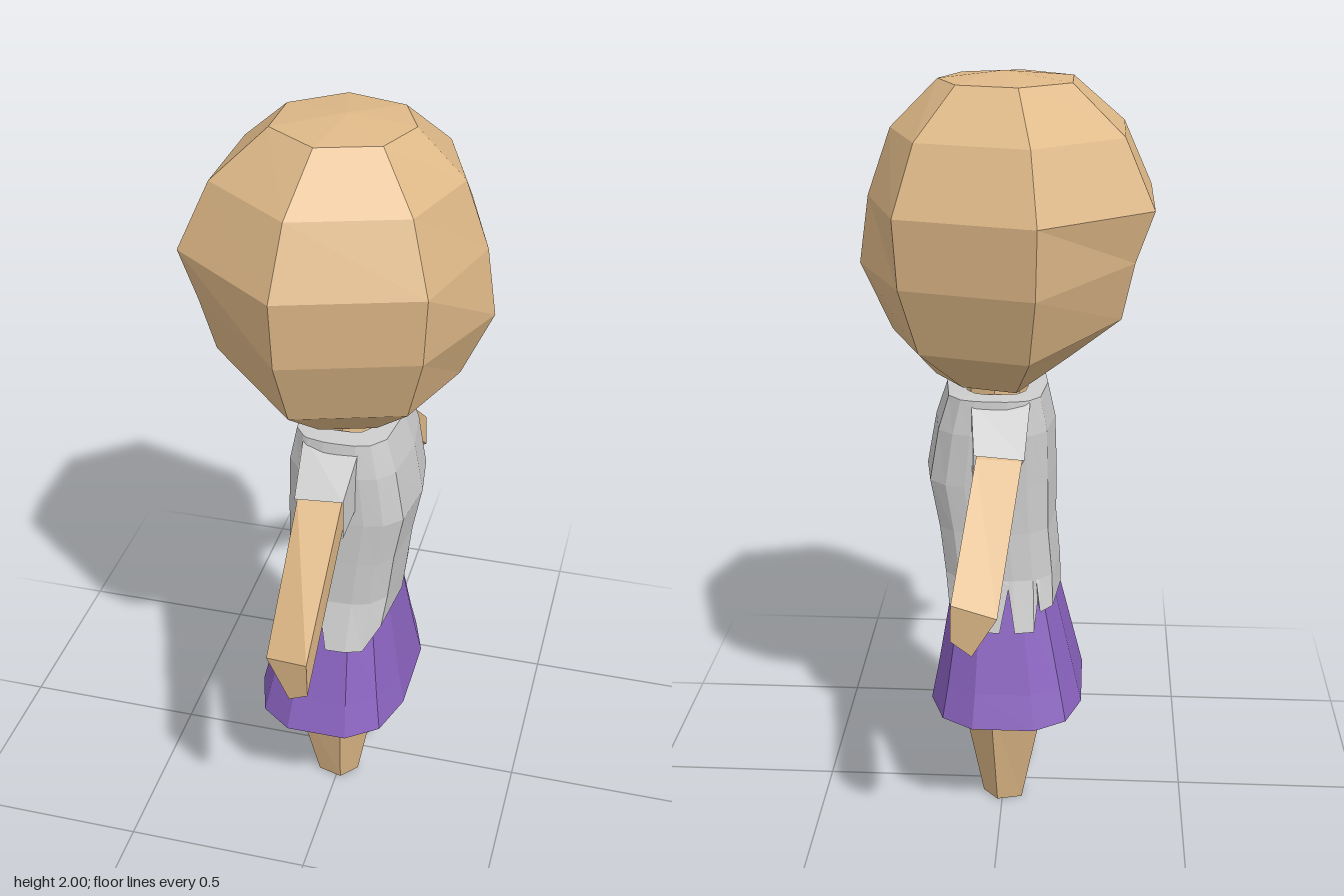
import * as THREE from 'three';

const mat = (color) =>
  new THREE.MeshStandardMaterial({ color, flatShading: true, side: THREE.DoubleSide });
const skin = mat(0xdeb887);
const cloth = mat(0xebe9e9);
const purple = mat(0x8a63bf);

const rad = THREE.MathUtils.degToRad;

// Skins a list of point rings, with optional flat caps at either end.
function loft(name, material, rings, capStart = false, capEnd = false) {
  const pos = [];
  const tri = (a, b, c) => pos.push(...a, ...b, ...c);
  const middle = (ring) => [0, 1, 2].map((k) => ring.reduce((s, p) => s + p[k], 0) / ring.length);
  const n = rings[0].length;
  for (let j = 0; j < n; j++) {
    const k = (j + 1) % n;
    for (let i = 0; i < rings.length - 1; i++) {
      const [a, b, c, d] = [rings[i][j], rings[i][k], rings[i + 1][j], rings[i + 1][k]];
      tri(a, b, c);
      tri(b, d, c);
    }
    const first = rings[0], last = rings[rings.length - 1];
    if (capStart) tri(middle(first), first[k], first[j]);
    if (capEnd) tri(middle(last), last[j], last[k]);
  }
  const geo = new THREE.BufferGeometry();
  geo.setAttribute('position', new THREE.Float32BufferAttribute(pos, 3));
  geo.computeVertexNormals();
  const mesh = new THREE.Mesh(geo, material);
  mesh.name = name;
  return mesh;
}

// Rounded-rectangle ring: back and front x, right and left reach in z, power sets squareness.
function ring(angles, y, back, front, right, left, power = 1) {
  const bend = (v) => Math.sign(v) * Math.abs(v) ** power;
  return angles.map((deg) => {
    const c = bend(Math.cos(rad(deg))), s = bend(Math.sin(rad(deg)));
    const x = (front + back) / 2 + c * (front - back) / 2;
    return [x, y, s * (s > 0 ? left : right)];
  });
}
const regular = (n, start = 0) => Array.from({ length: n }, (_, i) => start + (i * 360) / n);

// Seven-sided head whose rings are raised at the back of the jaw
function head() {
  // y, back lift, radius, front reach, back reach
  const levels = [
    [1.98, 0, 0.18, 0.165, 0.17],
    [1.86, 0, 0.33, 0.285, 0.30],
    [1.69, 0, 0.41, 0.345, 0.375],
    [1.515, 0.045, 0.395, 0.37, 0.33],
    [1.34, 0.07, 0.325, 0.29, 0.30],
    [1.22, 0.07, 0.165, 0.18, 0.17],
  ];
  const rings = levels.map(([y, lift, r, front, back]) =>
    regular(7, -1).map((deg) => {
      const c = Math.cos(rad(deg));
      const isBack = c < -0.5;
      const x = isBack ? -back : c > 0.9 ? front : c * r;
      const narrow = c > 0.5 ? 0.92 : 1;
      return [x, y + (isBack ? lift : 0), Math.sin(rad(deg)) * r * narrow];
    }));
  rings.unshift(rings[0].map(() => [0, 2, 0]));
  return loft('head', skin, rings, false, true);
}

// Shirt body with two slits in the hem at each side
function shirt() {
  const half = [35, 62, 80, 90, 92.5, 96, 114, 118, 122, 145];
  const angles = [0, ...half, 180, ...half.map((a) => 360 - a).reverse()];
  const levels = [
    [1.205, -0.07, 0.10, 0.13, 0.13],
    [1.2, -0.115, 0.15, 0.175, 0.185],
    [1.11, -0.135, 0.18, 0.185, 0.2],
    [0.97, -0.14, 0.205, 0.185, 0.205],
    [0.84, -0.14, 0.18, 0.185, 0.205],
    [0.71, -0.152, 0.165, 0.19, 0.208],
  ];
  const rings = levels.map((l) => ring(angles, ...l, 0.6));
  const hem = ring(angles, 0.63, -0.155, 0.155, 0.225, 0.25, 0.6);
  hem.forEach((p, i) => {
    const a = Math.min(angles[i], 360 - angles[i]);
    if (a === 92.5 || a === 118) {
      p[1] = a === 118 ? 0.65 : 0.7;
      p[2] *= 0.86;
    } else if (a > 60 && a < 120) p[1] = 0.575;
  });
  return loft('shirt', cloth, [...rings, hem]);
}

// Arm and sleeve; side is +1 for left, -1 for right
function arm(side) {
  const group = new THREE.Group();
  group.name = side > 0 ? 'leftArm' : 'rightArm';
  const section = (z, corners, shift = 0, skew = 0) => {
    const pts = corners.map(([x, y]) => [x + shift, y, (z + x * skew) * side]);
    return side > 0 ? pts : pts.reverse();
  };
  const swing = side > 0 ? 0 : 0.045;
  const skew = side > 0 ? 0.3 : -0.15;
  const hand = section(0.587, [[0.052, 0.73], [0, 0.695], [-0.062, 0.8], [0.05, 0.825]],
    swing, skew);
  const elbow = section(0.28, [[0.055, 0.99], [0, 0.98], [-0.06, 1.08], [0.055, 1.085]]);
  const shoulder = section(0.14, [[0.055, 1.08], [0, 1.07], [-0.06, 1.17], [0.055, 1.17]]);
  group.add(loft('forearm', skin, [hand, elbow, shoulder], true, true));

  const cuff = section(0.285, [[0.06, 0.985], [0, 0.973], [-0.066, 1.085], [0.06, 1.095]]);
  const join = section(0.16, [[0.075, 1.03], [0, 1.02], [-0.075, 1.195], [0.075, 1.195]]);
  group.add(loft('sleeve', cloth, [cuff, join]));
  return group;
}

// Tapered five-sided leg with its ridge to the front
function leg(name, z, topZ) {
  const at = (y, r, rz, cz) =>
    regular(5).map((d) => [
      (Math.cos(rad(d)) - 0.095) * r, y, cz + (Math.sin(rad(d)) / 0.951) * rz]);
  return loft(name, skin, [
    at(0.55, 0.126, 0.085, topZ),
    at(0.32, 0.126, 0.085, topZ),
    at(0, 0.06, 0.048, z),
  ], true, true);
}

export function createModel() {
  const model = new THREE.Group();
  model.name = 'figure';
  model.add(head());

  // Neck
  const eight = regular(8);
  model.add(loft('neck', skin, [
    ring(eight, 1.26, -0.07, 0.1, 0.12, 0.12),
    ring(eight, 1.17, -0.07, 0.11, 0.13, 0.13),
  ], true, true));

  model.add(shirt(), arm(1), arm(-1));

  // Flared open skirt
  const twelve = regular(12, 15);
  model.add(loft('skirt', purple, [
    ring(twelve, 0.76, -0.12, 0.125, 0.17, 0.175, 0.7),
    ring(twelve, 0.63, -0.146, 0.142, 0.2, 0.215, 0.7),
    ring(twelve, 0.41, -0.2, 0.18, 0.262, 0.285, 0.7),
    ring(twelve, 0.32, -0.222, 0.198, 0.292, 0.316, 0.7),
  ]));

  model.add(leg('leftLeg', 0.092, 0.117), leg('rightLeg', -0.067, -0.095));
  return model;
}
